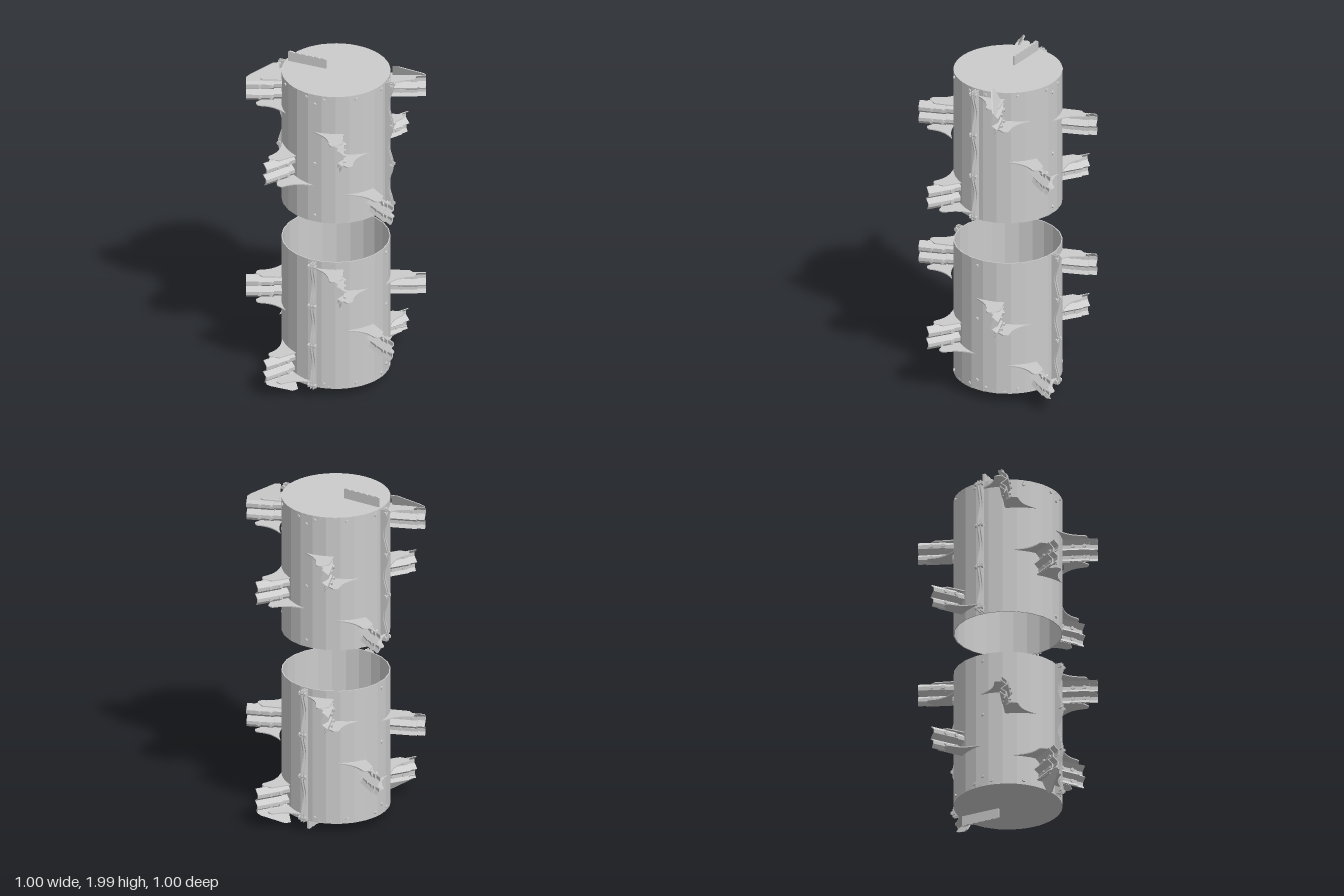
import * as THREE from 'three';

const R = 0.305;
const rad = THREE.MathUtils.degToRad;
const flat = new THREE.MeshStandardMaterial({ color: 0xcccccc, flatShading: true });
const sheet = new THREE.MeshStandardMaterial({ color: 0xcccccc, flatShading: true, side: THREE.DoubleSide });

function add(parent, name, geometry, material = flat) {
  const mesh = new THREE.Mesh(geometry, material);
  mesh.name = name;
  parent.add(mesh);
  return mesh;
}

// Group whose local +x points outward at an angle measured from +x towards +z
function radialGroup(parent, name, degrees, y = 0) {
  const g = new THREE.Group();
  g.name = name;
  g.rotation.y = -rad(degrees);
  g.position.y = y;
  parent.add(g);
  return g;
}

const poly = (pts) => new THREE.Shape(pts.map((p) => new THREE.Vector2(p[0], p[1])));
const extrude = (shape, depth) =>
  new THREE.ExtrudeGeometry(shape, { depth, bevelEnabled: false, curveSegments: 8 });

// Bolt running across local z, with a hex head at each end
function bolt(parent, name, x, y, z, length, r = 0.011) {
  const shank = add(parent, name + 'Shank', new THREE.CylinderGeometry(r * 0.5, r * 0.5, length, 8).rotateX(Math.PI / 2));
  shank.position.set(x, y, z);
  for (const s of [-1, 1]) {
    const head = add(parent, name + 'Head', new THREE.CylinderGeometry(r, r, 0.009, 6).rotateX(Math.PI / 2));
    head.position.set(x, y, z + s * length / 2);
  }
}

// Corrugated plate: zigzag cross-section (tangent, height) swept outward
const zigzag = [[0.02, 0.067], [0.05, 0.04], [0.048, 0.018], [0.014, -0.006], [0.044, -0.028], [0.044, -0.048], [0.03, -0.067]];
function corrugated(from, to, shift) {
  const t = 0.008;
  const back = zigzag.map(([x, y]) => [x + shift - t, y]).reverse();
  const shape = poly([...zigzag.map(([x, y]) => [x + shift, y]), ...back]);
  return extrude(shape, to - from).translate(0, 0, from).rotateY(Math.PI / 2);
}

// Flared horizontal gusset, hugging the drum and sweeping out to a narrow tip
function gusset(flip) {
  const t = (v) => (flip ? 0.05 - v + 0.015 : v);
  const s = new THREE.Shape();
  s.moveTo(0.278, t(-0.125));
  s.bezierCurveTo(0.32, t(-0.075), 0.35, t(-0.04), 0.425, t(-0.035));
  s.quadraticCurveTo(0.447, t(-0.03), 0.445, t(0));
  s.lineTo(0.41, t(0.04));
  s.lineTo(0.302, t(0.045));
  s.quadraticCurveTo(0.312, t(-0.04), 0.278, t(-0.125));
  return extrude(s, 0.006).rotateX(-Math.PI / 2);
}

function blade(parent, degrees, y, fin = 0) {
  const g = radialGroup(parent, 'blade', degrees, y);
  add(g, 'bladeBracket', corrugated(0.3, 0.455, -0.009));
  add(g, 'bladeTooth', corrugated(0.345, 0.5, 0));
  add(g, 'upperGusset', gusset(false)).position.y = 0.063;
  add(g, 'lowerGusset', gusset(true)).position.y = -0.069;
  for (const r of [0.36, 0.425])
    for (const h of [0.031, -0.038]) bolt(g, 'bladeBolt', r, h, -0.04, 0.03);
  if (fin) {
    // Slanted guard fin reaching past the closed end of the drum
    const outline = [[0.315, 0.05], [0.5, 0.05], [0.5, 0.072], [0.48, 0.085], [0.35, 0.142], [0.315, 0.142]];
    const geo = extrude(poly(outline.map(([r, h]) => [r, h * fin])), 0.008);
    const p = geo.attributes.position;
    for (let i = 0; i < p.count; i++) {
      const lean = (Math.abs(p.getY(i)) - 0.05) * 0.55 * fin;
      p.setZ(i, p.getZ(i) - 0.036 + lean);
    }
    geo.computeVertexNormals();
    add(g, 'guardFin', geo);
  }
}

// Bolted seam: two wavy flanges clamped at four points
function seam(parent, degrees, y0, y1) {
  const g = radialGroup(parent, 'seam', degrees);
  const pts = [[R - 0.008, y1 - 0.005], [R - 0.008, y0 + 0.005]];
  const first = y0 + 0.025, step = (y1 - y0 - 0.05) / 3;
  for (let i = 0; i <= 36; i++) {
    const y = y0 + 0.005 + (y1 - y0 - 0.01) * i / 36;
    const wave = Math.cos(((y - first) / step) * Math.PI * 2);
    pts.push([0.334 + 0.013 * wave, y]);
  }
  for (const z of [-0.011, 0.005]) add(g, 'seamFlange', extrude(poly(pts), 0.006)).position.z = z;
  for (let i = 0; i < 4; i++) bolt(g, 'seamBolt', 0.337, first + i * step, 0, 0.04, 0.014);
}

function rivet(parent, degrees, y) {
  const g = radialGroup(parent, 'rivet', degrees, y);
  const m = add(g, 'rivetHead', new THREE.CylinderGeometry(0.009, 0.011, 0.01, 8).rotateZ(-Math.PI / 2));
  m.position.x = R;
}

// Serrated cutter standing on the closed end
function endCutter(parent, degrees, y, up) {
  const g = radialGroup(parent, 'endCutter', degrees, y);
  const pts = [[0.289, 0], [0.057, 0]];
  const n = 6, w = (0.289 - 0.057) / n;
  for (let i = 0; i < n; i++) {
    const x = 0.057 + i * w;
    pts.push([x, 0.055], [x + w * 0.3, 0.06], [x + w * 0.8, 0.06]);
  }
  pts.push([0.289, 0.055]);
  add(g, 'cutterPlate', extrude(poly(pts.map(([x, h]) => [x, h * up])), 0.012)).position.z = -0.006;
}

function drum(parent, name, y0, y1, up, seamAngle) {
  const g = new THREE.Group();
  g.name = name;
  parent.add(g);
  const h = y1 - y0, end = up > 0 ? y1 : y0, open = up > 0 ? y0 : y1;

  // Thin open shell, rim and closed end
  for (const r of [R, R - 0.006])
    add(g, 'drumShell', new THREE.CylinderGeometry(r, r, h, 24, 1, true), sheet).position.y = (y0 + y1) / 2;
  const rim = add(g, 'drumRim', new THREE.RingGeometry(R - 0.006, R, 24).rotateX(Math.PI / 2), sheet);
  rim.position.y = open;
  add(g, 'endDisc', new THREE.CylinderGeometry(R - 0.001, R - 0.001, 0.012, 48)).position.y = end - up * 0.006;

  for (const side of [0, 180]) {
    seam(g, seamAngle + side, y0, y1);
    // Rivet column midway between seams
    for (const d of [0.06, 0.44, 0.77]) rivet(g, seamAngle + 90 + side, end - up * d);
  }
  // Rivets holding the end disc
  for (let i = 0; i < 4; i++)
    for (const d of [-10, 10, 45]) rivet(g, 22.5 + i * 90 + d, end - up * 0.026);
  return g;
}

export function createModel() {
  const model = new THREE.Group();
  model.name = 'twinDrumCutter';
  const upper = drum(model, 'upperDrum', 1.13, 1.94, 1, 22.5);
  const lower = drum(model, 'lowerDrum', 0.07, 0.88, -1, 112.5);
  endCutter(upper, 202.5, 1.94, 1);
  endCutter(lower, 292.5, 0.07, -1);

  // Blades in opposite pairs, stepping down each drum: [angle, height, fin direction]
  const upperBlades = [[0, 1.833, 1], [90, 1.635, 0], [145, 1.443, 0], [55, 1.243, 0]];
  const lowerBlades = [[90, 0.765, 0], [0, 0.57, 0], [55, 0.373, 0], [145, 0.18, -1]];
  for (const side of [0, 180]) {
    for (const [a, y, fin] of upperBlades) blade(upper, a + side, y, fin);
    for (const [a, y, fin] of lowerBlades) blade(lower, a + side, y, fin);
  }
  return model;
}
